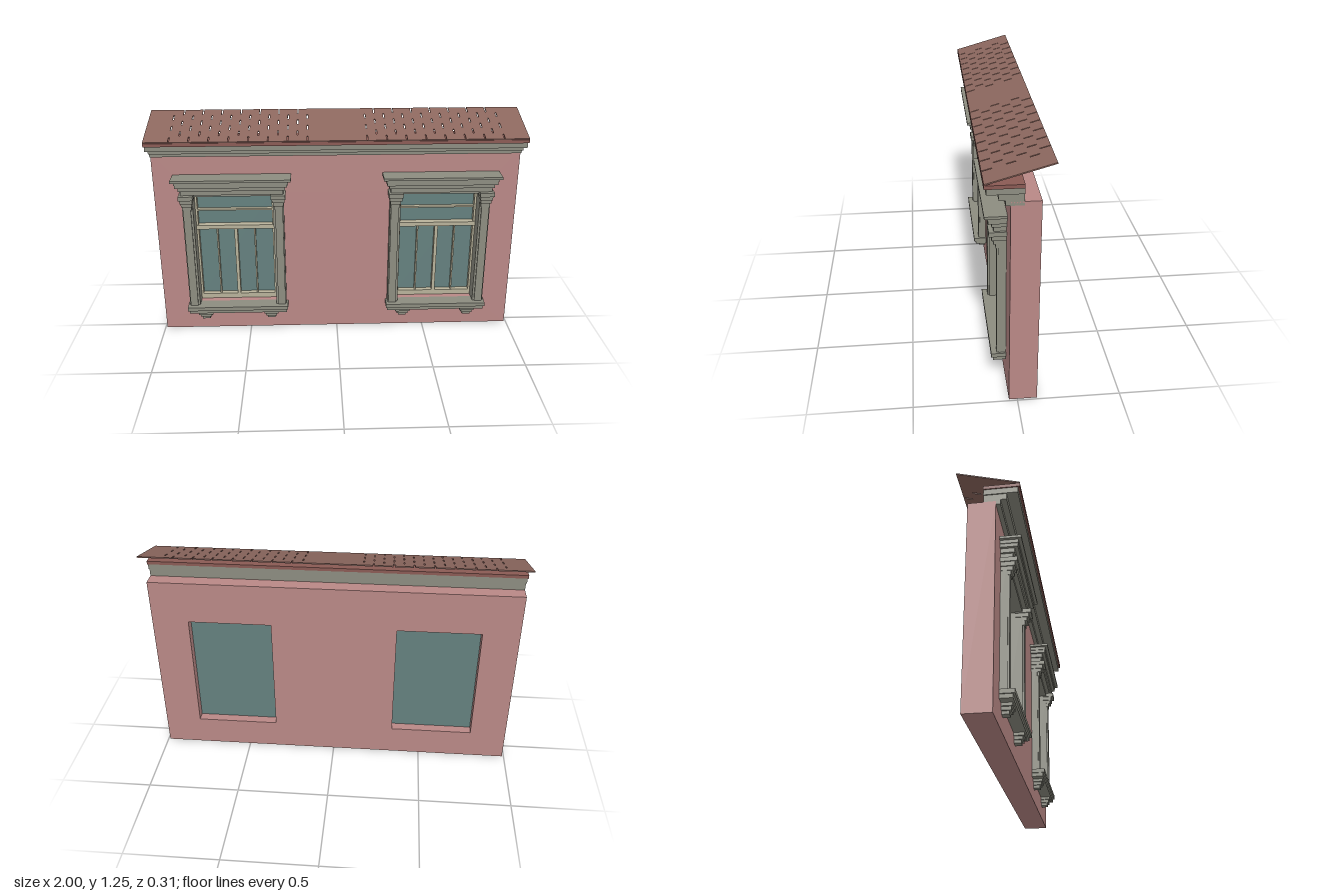
import * as THREE from 'three';

const mat = (name, color) => {
  const m = new THREE.MeshStandardMaterial({ color });
  m.name = name;
  return m;
};

export function createModel() {
  const wallPink = mat('wall pink', 0xb98886);
  const stone = mat('grey stone', 0x8c8c80);
  const roofBrown = mat('roof brown', 0x8c675e);
  const eavesRed = mat('eaves red brown', 0x8a5a54);
  const frameCream = mat('frame cream', 0xb8b29a);
  const glassTeal = mat('glass teal', 0x64807e);

  const model = new THREE.Group();
  model.name = 'facade';

  // Box given by its limits on each axis
  const box = (parent, name, material, [x0, x1], [y0, y1], [z0, z1]) => {
    const mesh = new THREE.Mesh(new THREE.BoxGeometry(x1 - x0, y1 - y0, z1 - z0), material);
    mesh.position.set((x0 + x1) / 2, (y0 + y1) / 2, (z0 + z1) / 2);
    mesh.name = name;
    parent.add(mesh);
  };
  const rect = (Type, x0, x1, y0, y1) => new Type([
    new THREE.Vector2(x0, y0), new THREE.Vector2(x1, y0),
    new THREE.Vector2(x1, y1), new THREE.Vector2(x0, y1),
  ]);

  // Wall with two window openings
  const windowX = 0.565;
  const wallShape = rect(THREE.Shape, -0.99, 0.99, 0, 1.07);
  for (const s of [-1, 1]) {
    wallShape.holes.push(rect(THREE.Path, s * windowX - 0.226, s * windowX + 0.226, 0.165, 0.835));
  }
  const wall = new THREE.Mesh(
    new THREE.ExtrudeGeometry(wallShape, { depth: 0.136, bevelEnabled: false }), wallPink);
  wall.position.z = -0.096;
  wall.name = 'wall';
  model.add(wall);

  // Stepped cornice under the eaves: bottom, top, front, half width
  const cornice = new THREE.Group();
  cornice.name = 'cornice';
  model.add(cornice);
  for (const [y0, y1, z, w] of [
    [1.052, 1.077, 0.062, 0.99], [1.077, 1.108, 0.091, 0.99], [1.108, 1.137, 0.145, 0.995],
  ]) box(cornice, 'corniceStep', stone, [-w, w], [y0, y1], [-0.02, z]);
  box(model, 'eavesBoard', eavesRed, [-1, 1], [1.137, 1.155], [-0.02, 0.155]);

  // Sloping shingle roof with staggered slits, open at the rear edge
  const slope = Math.atan2(0.087, 0.308);
  const length = 0.32, row = length / 6, gap = 0.003;
  const outline = [[-1, 0], [1, 0], [1, length]];
  const slits = [];
  for (let i = 29; i >= 0; i--) {
    const side = i >= 15 ? 1 : -1;
    const k = i % 15;
    const x = side > 0 ? 0.155 + k * 0.051 : -0.869 + k * 0.051;
    if (k % 2) {
      outline.push([x + gap, length], [x + gap, length - row + 0.003],
        [x - gap, length - row + 0.003], [x - gap, length]);
    }
    for (let r = k % 2 ? 1 : 0; r < 5; r += 2) {
      slits.push(rect(THREE.Path, x - gap, x + gap, r * row + 0.005, (r + 1) * row - 0.005));
    }
  }
  outline.push([-1, length]);
  const roofShape = new THREE.Shape(outline.map(([x, y]) => new THREE.Vector2(x, y)));
  roofShape.holes = slits;
  const roof = new THREE.Mesh(
    new THREE.ExtrudeGeometry(roofShape, { depth: 0.006, bevelEnabled: false }), roofBrown);
  roof.rotation.x = slope - Math.PI / 2;
  roof.position.set(0, 1.156, 0.153);
  roof.name = 'shingleRoof';
  model.add(roof);

  // Window with stone surround, centred on x = 0
  const makeWindow = () => {
    const win = new THREE.Group();
    win.name = 'window';

    // Crown steps: bottom, top, front, half width
    for (const [y0, y1, z, w] of [
      [0.847, 0.873, 0.099, 0.275], [0.873, 0.896, 0.109, 0.285],
      [0.896, 0.914, 0.126, 0.298], [0.914, 0.932, 0.129, 0.302], [0.932, 0.945, 0.145, 0.318],
    ]) box(win, 'crownStep', stone, [-w, w], [y0, y1], [0.03, z]);
    box(win, 'lintel', stone, [-0.22, 0.22], [0.83, 0.847], [-0.02, 0.076]);

    // Sill
    box(win, 'sillTop', stone, [-0.284, 0.284], [0.145, 0.167], [0.03, 0.112]);
    box(win, 'sillBase', stone, [-0.277, 0.277], [0.125, 0.145], [0.03, 0.102]);

    for (const s of [-1, 1]) {
      const span = (c, h) => [s * c - h, s * c + h];
      // Jamb, raised pilaster and stepped capital
      box(win, 'jamb', stone, span(0.246, 0.029), [0.165, 0.847], [-0.02, 0.076]);
      box(win, 'pilaster', stone, span(0.249, 0.021), [0.165, 0.76], [0.07, 0.084]);
      [[0.757, 0.779, 0.089, 0.025], [0.779, 0.801, 0.1, 0.029],
        [0.801, 0.824, 0.109, 0.034], [0.824, 0.847, 0.122, 0.039],
      ].forEach(([y0, y1, z, h]) => box(win, 'capitalStep', stone, span(0.247, h), [y0, y1], [0.038, z]));
      // Bracket under the sill
      [[0.077, 0.093, 0.076, 0.022], [0.093, 0.11, 0.085, 0.031], [0.11, 0.125, 0.093, 0.041],
      ].forEach(([y0, y1, z, h]) => box(win, 'bracketStep', stone, span(0.187, h), [y0, y1], [0.03, z]));
      // Side stile and casement bar
      box(win, 'frameStile', frameCream, span(0.213, 0.007), [0.167, 0.832], [-0.035, -0.005]);
      box(win, 'casementBar', frameCream, span(0.105, 0.004), [0.19, 0.61], [-0.035, -0.012]);
    }

    // Frame rails, mullion and glass
    box(win, 'topRail', frameCream, [-0.217, 0.217], [0.81, 0.832], [-0.035, -0.005]);
    box(win, 'upperBar', frameCream, [-0.217, 0.217], [0.713, 0.722], [-0.035, -0.012]);
    box(win, 'transom', frameCream, [-0.217, 0.217], [0.607, 0.63], [-0.035, 0.004]);
    box(win, 'bottomRail', frameCream, [-0.217, 0.217], [0.166, 0.195], [-0.035, -0.005]);
    box(win, 'mullion', frameCream, [-0.009, 0.009], [0.19, 0.61], [-0.035, -0.005]);
    box(win, 'glass', glassTeal, [-0.226, 0.226], [0.165, 0.835], [-0.044, -0.035]);
    return win;
  };
  for (const s of [-1, 1]) {
    const win = makeWindow();
    win.position.x = s * windowX;
    model.add(win);
  }
  return model;
}
